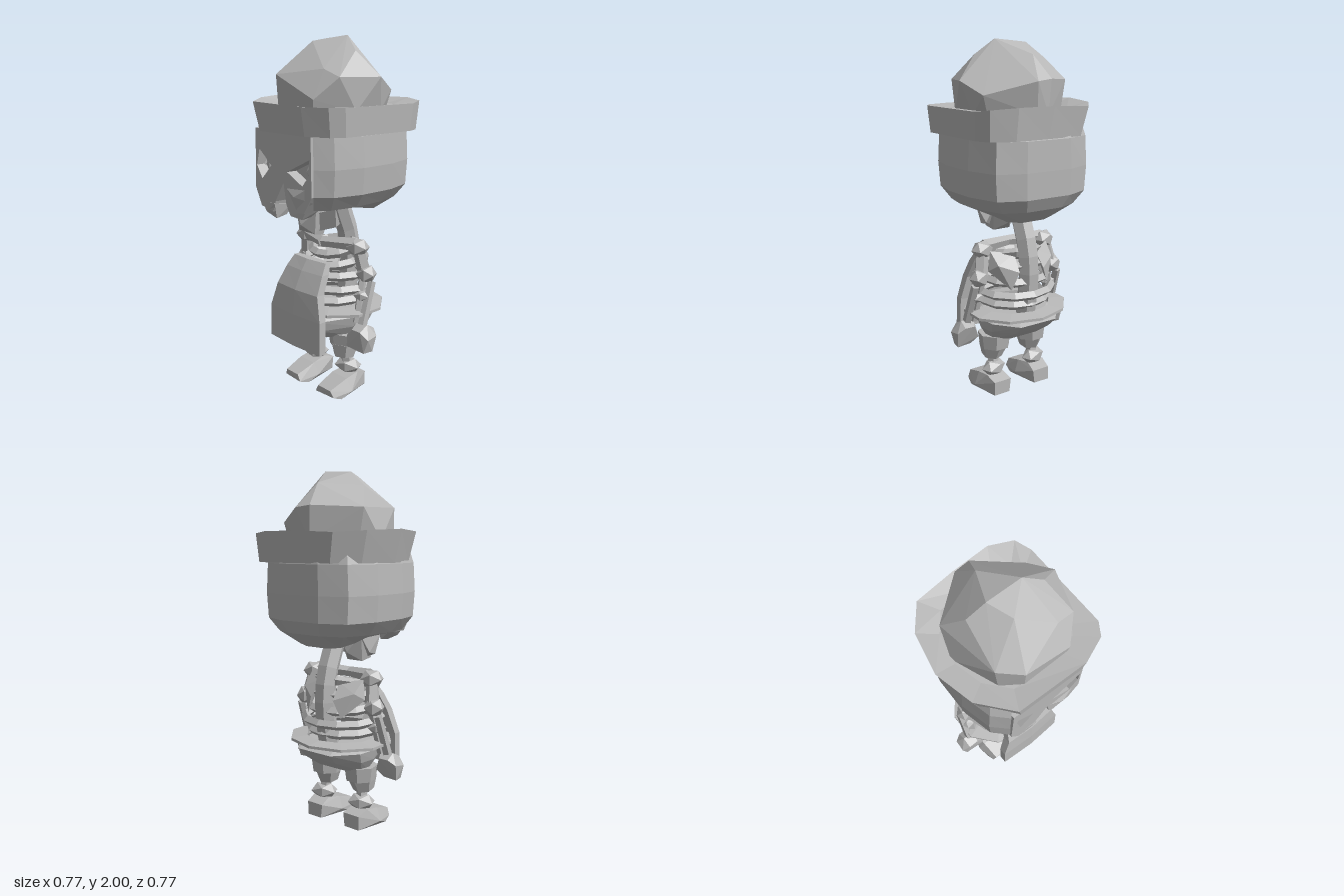
import * as THREE from 'three';
import { ConvexGeometry } from 'three/addons/geometries/ConvexGeometry.js';

const bone = new THREE.MeshStandardMaterial({ color: 0xb8b8b8, flatShading: true });
bone.name = 'plain grey';

export function createModel() {
  const model = new THREE.Group();

  const add = (name, geometry) => {
    const mesh = new THREE.Mesh(geometry, bone);
    mesh.name = name;
    model.add(mesh);
    return mesh;
  };
  const vec = (p) => new THREE.Vector3(...p);
  const convex = (name, pts) => add(name, new ConvexGeometry(pts.map(vec)));

  // Faceted bar from a to b
  const bar = (name, a, b, ra, rb = ra, sides = 5) => {
    const A = vec(a), d = vec(b).sub(A);
    const mesh = add(name, new THREE.CylinderGeometry(rb, ra, d.length(), sides));
    mesh.position.copy(A).addScaledVector(d, 0.5);
    mesh.quaternion.setFromUnitVectors(new THREE.Vector3(0, 1, 0), d.normalize());
    return mesh;
  };
  // Rough low-poly lump
  const lump = (name, p, sx, sy, sz, turn = 0.4) => {
    const mesh = add(name, new THREE.IcosahedronGeometry(1, 0));
    mesh.position.set(...p);
    mesh.scale.set(sx, sy, sz);
    mesh.rotation.y = turn;
    return mesh;
  };
  // Closed skin over rings of equal length, listed bottom to top
  const loft = (name, rings) => {
    const n = rings[0].length, pos = rings.flat(2), idx = [];
    for (let r = 0; r < rings.length - 1; r++)
      for (let j = 0; j < n; j++) {
        const a = r * n + j, b = r * n + (j + 1) % n;
        idx.push(a, a + n, b + n, a, b + n, b);
      }
    [0, rings.length - 1].forEach((r, top) => {
      const c = pos.length / 3;
      for (let k = 0; k < 3; k++) pos.push(rings[r].reduce((s, p) => s + p[k], 0) / n);
      for (let j = 0; j < n; j++) {
        const a = r * n + j, b = r * n + (j + 1) % n;
        if (top) idx.push(b, a, c); else idx.push(a, b, c);
      }
    });
    const g = new THREE.BufferGeometry();
    g.setAttribute('position', new THREE.Float32BufferAttribute(pos, 3));
    g.setIndex(idx);
    g.computeVertexNormals();
    return add(name, g);
  };

  // Skull: rounded square plan from back to front, with a pocket for the face
  const half = [[0.14, -0.36], [0.29, -0.3], [0.345, -0.12], [0.35, 0.1], [0.31, 0.27], [0.235, 0.345], [0.21, 0.29]];
  const plan = [...half, ...half.map(([x, z]) => [-x, z]).reverse()];
  const skullRing = (y, sx, sz, dz = 0, tilt = 0) =>
    plan.map(([x, z]) => [x * sx + 0.012, y + z * tilt, z * sz + dz]);
  loft('skull', [
    skullRing(1.085, 0.5, 0.5, -0.04, 0.1), skullRing(1.125, 0.8, 0.88, 0, -0.01),
    skullRing(1.2, 0.97, 0.99), skullRing(1.34, 1.0, 1), skullRing(1.5, 0.97, 0.99), skullRing(1.56, 0.92, 0.94),
  ]);

  // Face with slanted eye sockets and an open nose
  const poly = (Kind, pts) => new Kind(pts.map((p) => new THREE.Vector2(...p)));
  const face = poly(THREE.Shape, [
    [-0.21, 1.52], [-0.22, 1.2], [-0.17, 1.1], [-0.07, 1.08], [-0.05, 1.14], [0.02, 1.25],
    [0.04, 1.14], [0.06, 1.1], [0.18, 1.11], [0.24, 1.2], [0.235, 1.52],
  ]);
  face.holes.push(
    poly(THREE.Path, [[-0.18, 1.41], [-0.08, 1.33], [-0.16, 1.25], [-0.205, 1.32]]),
    poly(THREE.Path, [[0.05, 1.31], [0.225, 1.39], [0.22, 1.31], [0.17, 1.25]]));
  const faceMesh = add('face', new THREE.ExtrudeGeometry(face, { depth: 0.085, bevelEnabled: false }));
  faceMesh.position.z = 0.268;
  lump('rightEye', [-0.155, 1.325, 0.29], 0.03, 0.04, 0.03);
  lump('leftEye', [0.175, 1.32, 0.29], 0.03, 0.04, 0.03);
  // Cheekbone, upper teeth and cheek stubs
  convex('leftCheek', [[0.03, 1.23, 0.35], [0.2, 1.24, 0.35], [0.24, 1.17, 0.34], [0.12, 1.11, 0.35], [0.12, 1.19, 0.37]]);
  convex('rightTeeth', [[-0.17, 1.12, 0.35], [-0.05, 1.13, 0.36], [-0.07, 1.04, 0.33], [-0.13, 1.07, 0.35],
    [-0.16, 1.11, 0.23], [-0.06, 1.11, 0.23], [-0.08, 1.05, 0.25]]);
  convex('leftTeeth', [[0.04, 1.13, 0.35], [0.19, 1.13, 0.34], [0.15, 1.07, 0.34], [0.07, 1.08, 0.35],
    [0.06, 1.11, 0.24], [0.17, 1.11, 0.24], [0.13, 1.07, 0.26]]);

  // Chin and jaw
  convex('chin', [[-0.07, 1.07, 0.19], [0.09, 1.08, 0.19], [-0.06, 0.95, 0.18], [0.07, 0.95, 0.18], [0.01, 1.0, 0.23],
    [-0.05, 0.935, 0.11], [0.06, 0.935, 0.11], [-0.08, 1.1, 0.06], [0.09, 1.1, 0.06], [0, 0.99, 0.03]]);
  for (const s of [1, -1])
    convex('jaw', [[0.06, 1.06, 0.18], [0.06, 0.96, 0.15], [0.15, 0.99, 0.1], [0.17, 1.1, 0.12],
      [0.08, 1.1, 0.05], [0.14, 1.0, 0.06]].map(([x, y, z]) => [s * x, y, z]));

  // Hat brim: flared band with a shallow top
  const brim = [[-0.23, -0.365, 1.66], [0.0, -0.38, 1.67], [0.22, -0.385, 1.67], [0.35, -0.33, 1.66], [0.385, -0.24, 1.65],
    [0.385, 0.26, 1.65], [0.34, 0.33, 1.65], [0.2, 0.385, 1.65], [-0.2, 0.375, 1.66], [-0.34, 0.21, 1.67],
    [-0.39, 0, 1.68], [-0.34, -0.23, 1.67]];
  loft('hatBrim', [
    brim.map(([x, z]) => [x * 0.93 + 0.018, 1.505, z * 0.95]),
    brim.map(([x, z, y]) => [x, y, z]),
    brim.map(([x, z]) => [x * 0.72, 1.64, z * 0.72]),
  ]);
  // Hat crown: irregular dome
  convex('hatCrown', [
    [-0.28, 1.62, -0.03], [-0.19, 1.62, 0.21], [0.17, 1.62, 0.28], [0.3, 1.62, 0.1], [0.3, 1.62, -0.08], [-0.02, 1.62, -0.3],
    [-0.22, 1.62, -0.14], [0.05, 1.62, -0.3], [0.26, 1.62, -0.16],
    [-0.09, 1.62, 0.28], [-0.25, 1.79, -0.14], [-0.03, 1.8, -0.31], [0.06, 1.79, -0.32],
    [0.29, 1.72, -0.17], [0.345, 1.79, -0.03], [0.27, 1.79, 0.19], [0.18, 1.68, 0.285], [-0.1, 1.8, 0.295],
    [-0.2, 1.8, 0.2], [0.165, 1.83, 0.2], [-0.07, 1.985, -0.02], [0.12, 2.0, -0.01], [-0.02, 1.97, 0.11],
    [0.01, 1.92, -0.2], [-0.17, 1.91, -0.04], [0.22, 1.92, 0.03]]);

  // Neck and spine
  const spine = [[0, 1.1, -0.06], [0, 1.0, -0.1], [0, 0.88, -0.145], [0, 0.7, -0.16], [0, 0.46, -0.12]].map(vec);
  add('spine', new THREE.TubeGeometry(new THREE.CatmullRomCurve3(spine), 7, 0.06, 6));

  // Rib hoops: back height, front height, half width, back z, front z
  for (const [yb, yf, w, zb, zf] of [
    [0.86, 0.81, 0.13, -0.14, 0.09], [0.78, 0.755, 0.16, -0.16, 0.14],
    [0.69, 0.71, 0.19, -0.18, 0.17], [0.62, 0.64, 0.225, -0.21, 0.2], [0.56, 0.57, 0.2, -0.18, 0.2]]) {
    const loop = Array.from({ length: 10 }, (_, i) => {
      const a = (i / 10) * Math.PI * 2, t = (Math.cos(a) + 1) / 2;
      return new THREE.Vector3(Math.sin(a) * w, yb + (yf - yb) * t, zb + (zf - zb) * t);
    });
    add('rib', new THREE.TubeGeometry(new THREE.CatmullRomCurve3(loop, true), 12, 0.026, 4, true));
  }

  // Flat belt hoop
  const belt = add('belt', new THREE.LatheGeometry(
    [[0.21, 0.5], [0.31, 0.5], [0.31, 0.515], [0.21, 0.525], [0.21, 0.5]].map((p) => new THREE.Vector2(...p)), 10));
  belt.scale.z = 0.88;
  belt.position.z = -0.025;

  // Pelvis bowl: half width, height, front z, back z
  convex('pelvis', [[0.235, 0.47, 0.235, -0.26], [0.19, 0.5, 0.2, -0.18], [0.22, 0.41, 0.21, -0.2],
    [0.18, 0.345, 0.13, -0.11]].flatMap(([x, y, zf, zb]) => [
    [x, y, 0], [-x, y, 0], [x * 0.6, y, zf], [-x * 0.6, y, zf], [x * 0.5, y, zb], [-x * 0.5, y, zb],
    [x * 0.95, y, zb * 0.5], [-x * 0.95, y, zb * 0.5]]));

  // Apron: bent slab hanging from the chest
  const apronRow = (y, l, r, z, d) => [[l, y, z - d], [r, y, z - d], [r, y, z], [0.01, y, z + 0.012], [l, y, z]];
  loft('apron', [apronRow(0.315, -0.2, 0.22, 0.285, 0.045), apronRow(0.5, -0.2, 0.215, 0.28, 0.045),
    apronRow(0.64, -0.155, 0.18, 0.265, 0.05), apronRow(0.74, -0.13, 0.165, 0.215, 0.05),
    apronRow(0.8, -0.11, 0.15, 0.175, 0.035)]);

  for (const s of [1, -1]) {
    const m = (x, y, z) => [s * x, y, z];
    // Collar, shoulder blade and shoulder
    bar('collarBone', m(0.0, 0.875, 0.06), m(0.2, 0.885, 0.0), 0.03, 0.038);
    convex('shoulderBlade', [m(0.07, 0.85, -0.12), m(0.19, 0.87, -0.06), m(0.21, 0.76, -0.07), m(0.12, 0.66, -0.17),
      m(0.08, 0.76, -0.19), m(0.18, 0.8, -0.13), m(0.15, 0.8, -0.03)]);
    lump('shoulder', m(0.21, 0.87, -0.01), 0.07, 0.055, 0.058);
    // Arm bones
    bar('upperArm', m(0.215, 0.87, -0.01), m(0.24, 0.72, -0.04), 0.035, 0.04);
    lump('elbow', m(0.25, 0.72, -0.04), 0.06, 0.058, 0.055);
    bar('forearm', m(0.23, 0.69, -0.03), m(0.25, 0.45, 0.03), 0.023, 0.025);
    bar('forearm', m(0.28, 0.68, -0.05), m(0.29, 0.45, 0.03), 0.024, 0.027);
    lump('wrist', m(0.25, 0.6, -0.01), 0.055, 0.035, 0.045);
    // Chunky fist
    convex('hand', [m(0.25, 0.455, 0.03), m(0.33, 0.46, 0.03), m(0.22, 0.38, 0.08), m(0.23, 0.32, 0.09), m(0.35, 0.31, 0.08),
      m(0.375, 0.39, 0.07), m(0.27, 0.43, 0.09), m(0.33, 0.43, 0.09), m(0.23, 0.35, 0.01), m(0.27, 0.31, 0.03),
      m(0.36, 0.31, 0.02), m(0.37, 0.4, 0.0), m(0.27, 0.43, -0.02), m(0.33, 0.43, -0.02)]);

    // Trouser cuff, knee and shin
    bar('cuff', m(0.125, 0.36, 0), m(0.125, 0.275, 0), 0.1, 0.088, 7);
    bar('thigh', m(0.13, 0.285, 0.01), m(0.135, 0.21, 0.02), 0.085, 0.06, 6);
    bar('shin', m(0.135, 0.23, 0.01), m(0.14, 0.13, -0.01), 0.035, 0.03);
    lump('ankle', m(0.14, 0.145, -0.01), 0.085, 0.05, 0.058);
    // Rounded shoe
    convex('shoe', [m(0.09, 0.01, -0.1), m(0.19, 0.01, -0.1), m(0.08, 0.09, -0.1), m(0.19, 0.09, -0.1), m(0.09, 0.115, -0.03),
      m(0.2, 0.115, -0.03), m(0.05, 0.03, 0.05), m(0.235, 0.03, 0.05), m(0.08, 0.1, 0.06), m(0.2, 0.1, 0.06),
      m(0.06, 0, 0.12), m(0.22, 0, 0.12), m(0.07, 0.02, 0.18), m(0.21, 0.02, 0.17), m(0.09, 0.06, 0.18),
      m(0.19, 0.06, 0.18), m(0.1, 0, -0.06), m(0.18, 0, -0.06)]);
  }
  return model;
}
